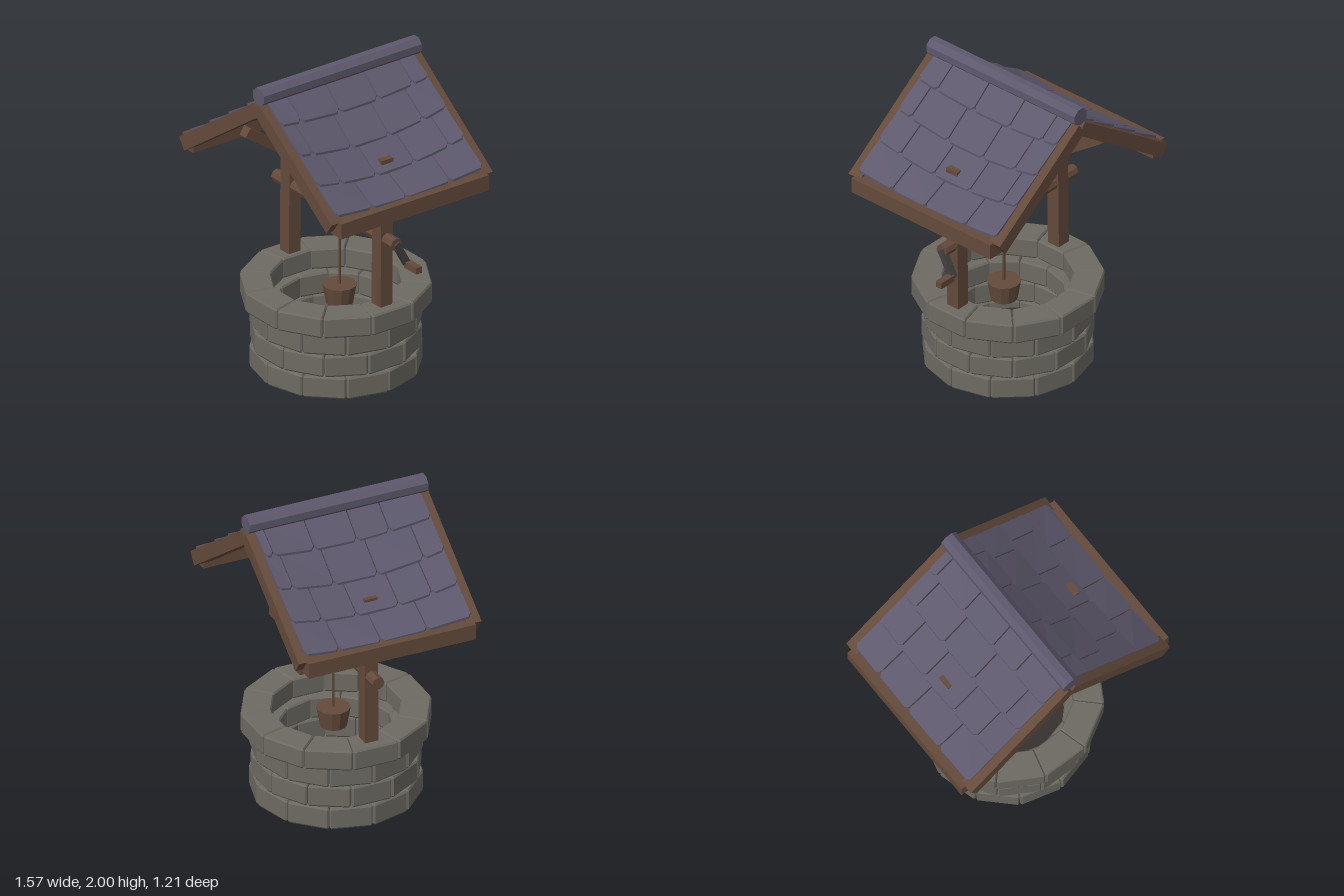
import * as THREE from 'three';

const mat = (name, color, side = THREE.FrontSide) => {
  const m = new THREE.MeshStandardMaterial({ color, side });
  m.name = name;
  return m;
};

const SLOPE = 0.71, EAVE_X = 0.73, HALF_Z = 0.55, APEX_X = 0.013;

// Height of the sagging roof surface at distance x from the ridge
function roofY(x, z) {
  const across = 1 - (z / HALF_Z) ** 2;
  const along = Math.sin(Math.PI * 0.85 * x / EAVE_X);
  return 1.911 - SLOPE * x - 0.069 * across * along;
}

// The ridge stands slightly off centre, the eaves do not
const roofX = (side, x) => side * x + APEX_X * (1 - x / EAVE_X);

export function createModel() {
  const stone = mat('stone', 0x6d6a62);
  const wood = mat('wood', 0x644a3b);
  const slate = mat('slate', 0x5d586c);
  const iron = mat('dark iron', 0x43403f);
  const shade = mat('dark lining', 0x37312e, THREE.DoubleSide);
  const ropeMat = mat('rope', 0x5e4630);

  const model = new THREE.Group();
  model.name = 'well';

  const add = (name, geo, material, x = 0, y = 0, z = 0, parent = model) => {
    const mesh = new THREE.Mesh(geo, material);
    mesh.name = name;
    mesh.position.set(x, y, z);
    parent.add(mesh);
    return mesh;
  };
  const group = (name) => {
    const g = new THREE.Group();
    g.name = name;
    model.add(g);
    return g;
  };
  const box = (w, h, d) => new THREE.BoxGeometry(w, h, d);
  const faceted = (geo) => {
    const g = geo.toNonIndexed();
    g.computeVertexNormals();
    return g;
  };

  // One bevelled wedge stone, its middle pointing along +x
  function stoneGeometry(inner, outer, height) {
    const h = Math.PI / 12, c = 0.011, b = 0.011;
    const xo = outer * Math.cos(h), xi = inner * Math.cos(h);
    const yo = outer * Math.sin(h) - 0.002, yi = inner * Math.sin(h) - 0.002;
    const shape = new THREE.Shape([
      [xi, -yi], [xo - c, -yo + c * 0.27], [xo, -yo + c],
      [xo, yo - c], [xo - c, yo - c * 0.27], [xi, yi],
    ].map(([x, y]) => new THREE.Vector2(x, y)));
    const geo = new THREE.ExtrudeGeometry(shape, {
      depth: height - 2 * b, bevelThickness: b, bevelSize: b * 0.7,
      bevelOffset: -b * 0.7, bevelSegments: 1,
    });
    return geo.translate(0, 0, b).rotateX(-Math.PI / 2);
  }

  // Four staggered courses of twelve stones
  const courses = [
    [0, 0.142, 0.35, 0.524, 0.5], [0.146, 0.139, 0.35, 0.522, 0],
    [0.289, 0.14, 0.35, 0.524, 0.5], [0.434, 0.134, 0.395, 0.582, 0],
  ];
  const wall = group('stoneWall');
  for (const [y, height, inner, outer, turn] of courses) {
    const geo = stoneGeometry(inner, outer, height);
    for (let i = 0; i < 12; i++) {
      add('stone', geo, stone, 0, y, 0, wall).rotation.y = (i + turn) * Math.PI / 6;
    }
  }
  add('wellFloor', new THREE.CircleGeometry(0.355, 24).rotateX(-Math.PI / 2), shade, 0, 0.095, 0);

  // Slightly leaning posts with a diagonal brace to each side
  for (const x of [-0.455, 0.453]) {
    const geo = box(0.09, 1.097, 0.088);
    const p = geo.attributes.position;
    for (let i = 0; i < p.count; i++) if (p.getY(i) > 0) p.setX(i, p.getX(i) + 0.013);
    geo.computeVertexNormals();
    add('post', geo, wood, x, 0.9995, 0);
    for (const s of [-1, 1]) {
      add('brace', box(0.06, 0.065, 0.4), wood, x, 1.342, s * 0.174).rotation.x = -s * 0.61;
    }
  }

  // Windlass, crank, rope and bucket
  add('axle', faceted(new THREE.CylinderGeometry(0.041, 0.041, 1.19, 8).rotateZ(Math.PI / 2)), wood, 0.005, 1.015, 0);
  add('crankArm', box(0.042, 0.19, 0.04), iron, 0.592, 0.94, -0.042).rotation.x = 0.49;
  add('crankHandle', box(0.12, 0.042, 0.044), wood, 0.657, 0.865, -0.081);
  add('rope', new THREE.CylinderGeometry(0.008, 0.008, 0.47, 8), ropeMat, 0.037, 0.765, 0);
  add('bucket', faceted(new THREE.CylinderGeometry(0.104, 0.082, 0.125, 12)), wood, 0.037, 0.474, 0);

  // Slate with clipped lower corners, bent to the roof surface
  function slateGeometry(side, x0, x1, z0, z1) {
    const c = 0.018, top = Math.max(0.015, x0 - 0.02);
    const shape = new THREE.Shape([
      [top, z0], [x1 - c, z0], [x1, z0 + c], [x1, z1 - c], [x1 - c, z1], [top, z1],
    ].map(([x, z]) => new THREE.Vector2(x, -side * z)));
    const geo = new THREE.ExtrudeGeometry(shape, { depth: 0.016, bevelEnabled: false });
    const p = geo.attributes.position;
    for (let i = 0; i < p.count; i++) {
      const x = p.getX(i), z = -side * p.getY(i);
      const lift = 0.018 * (x - top) / (x1 - top);
      p.setXYZ(i, roofX(side, x), roofY(x, z) + lift + p.getZ(i), z);
    }
    geo.computeVertexNormals();
    return geo;
  }

  // Dark lining under the slates
  function liningGeometry(side) {
    const geo = new THREE.PlaneGeometry(EAVE_X - 0.02, 2 * HALF_Z + 0.01, 8, 10);
    const p = geo.attributes.position;
    for (let i = 0; i < p.count; i++) {
      const x = p.getX(i) + (EAVE_X + 0.02) / 2, z = p.getY(i);
      p.setXYZ(i, roofX(side, x), roofY(x, z) - 0.015, z);
    }
    geo.computeVertexNormals();
    return geo;
  }

  // Slate joints along z for each row, from ridge to eave
  const rowEdges = [0.02, 0.18, 0.362, 0.547, 0.732];
  const joints = {
    '-1': [[-0.49, -0.22, 0.06, 0.275], [-0.45, -0.18, 0.11, 0.415],
      [-0.35, -0.12, 0.16, 0.38], [-0.325, -0.045, 0.26]],
    '1': [[-0.435, -0.175, 0.11, 0.4], [-0.375, -0.12, 0.16, 0.45],
      [-0.435, -0.175, 0.11, 0.375], [-0.305, 0.02, 0.28]],
  };
  const roof = group('roof');
  for (const side of [-1, 1]) {
    joints[side].forEach((row, r) => {
      const zs = [-HALF_Z - 0.004, ...row, HALF_Z + 0.004];
      for (let i = 0; i + 1 < zs.length; i++) {
        add('slate', slateGeometry(side, rowEdges[r], rowEdges[r + 1], zs[i] + 0.004, zs[i + 1] - 0.004),
          slate, 0, 0, 0, roof);
      }
    });
    add('roofLining', liningGeometry(side), shade, 0, 0, 0, roof);

    // Gable boards and eave beam
    const run = EAVE_X - side * APEX_X, drop = EAVE_X * SLOPE;
    for (const s of [-1, 1]) {
      const board = add('gableBoard', box(Math.hypot(run, drop), 0.09, 0.095), wood,
        APEX_X + side * run / 2, 1.865 - drop / 2, s * 0.5575, roof);
      board.rotation.z = -side * Math.atan2(drop, run);
    }
    add('eaveBeam', box(0.105, 0.1, 1.108), wood, side * 0.734, 1.338, 0, roof);
  }

  // Octagonal ridge cap
  const ridge = new THREE.CylinderGeometry(0.0595, 0.0595, 1.185, 8).rotateY(Math.PI / 8).rotateX(Math.PI / 2);
  add('ridgeCap', faceted(ridge), slate, 0.014, 1.945, 0, roof);

  return model;
}
